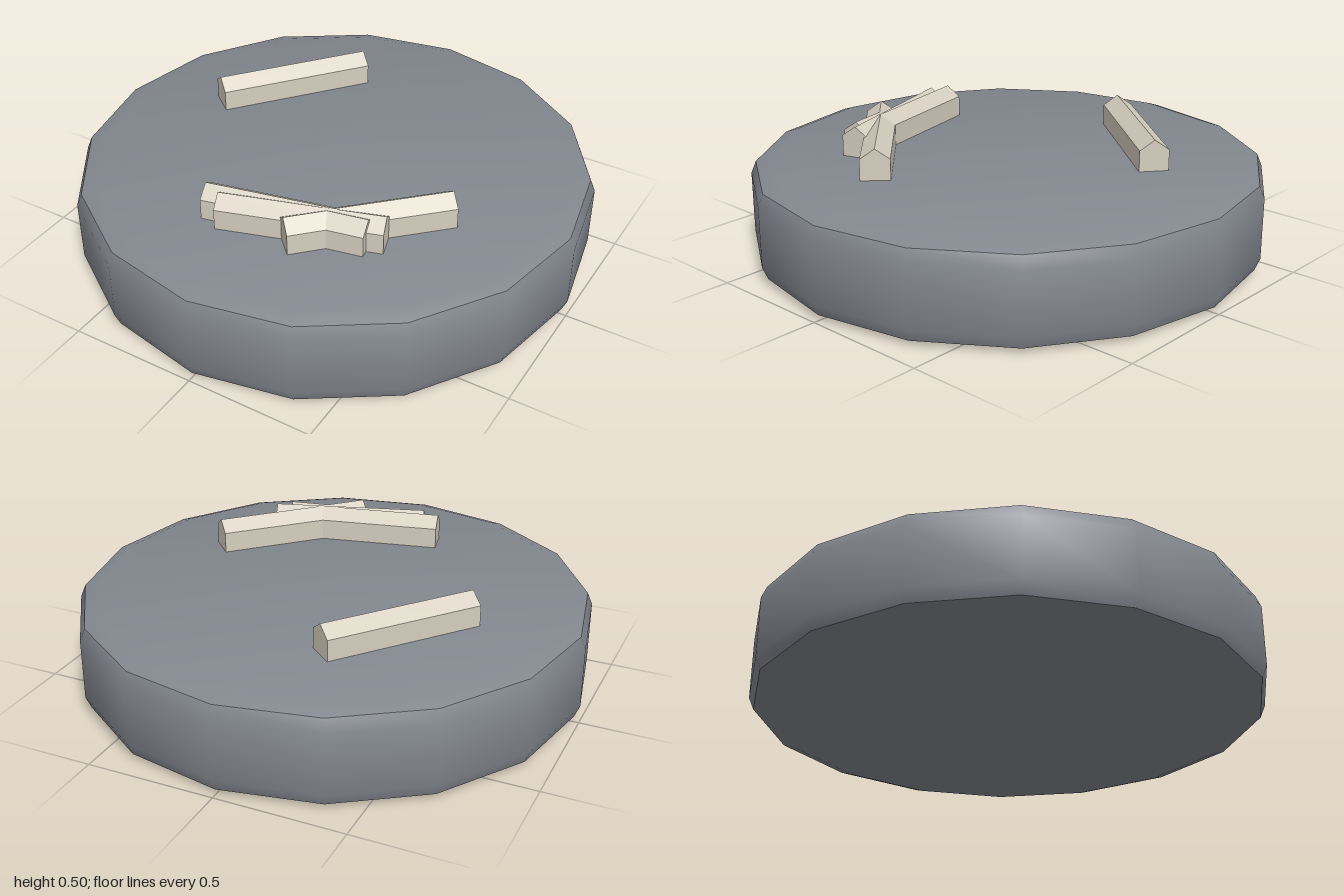
import * as THREE from 'three';
import { toCreasedNormals } from 'three/addons/utils/BufferGeometryUtils.js';

const stone = new THREE.MeshStandardMaterial({ color: 0x83878f });
stone.name = 'grey stone';
const bone = new THREE.MeshStandardMaterial({ color: 0xd6cfc0 });
bone.name = 'pale ivory';

// Gable cross-section of a raised ridge: [sideways offset, height]
const HALF = 0.057;
const SECTION = [[-HALF, 0.375], [-HALF, 0.46], [0, 0.5], [HALF, 0.46], [HALF, 0.375]];

// Sweeps the gable section along a path of [x, z] points with mitred bends
function ridgeGeometry(path) {
  const pts = path.map(([x, z]) => new THREE.Vector2(x, z));
  const normals = pts.slice(1).map((p, i) => {
    const d = p.clone().sub(pts[i]).normalize();
    return new THREE.Vector2(-d.y, d.x);
  });
  const rings = pts.map((p, i) => {
    const a = normals[Math.max(i - 1, 0)];
    const b = normals[Math.min(i, normals.length - 1)];
    const side = a.clone().add(b).normalize();
    side.divideScalar(side.dot(a));
    return SECTION.map(([o, y]) => [p.x + side.x * o, y, p.y + side.y * o]);
  });
  const out = [];
  const tri = (a, b, c) => out.push(...a, ...b, ...c);
  const n = SECTION.length;
  for (let r = 0; r < rings.length - 1; r++) {
    for (let k = 0; k < n; k++) {
      const m = (k + 1) % n;
      const [a, b, c, d] = [rings[r][k], rings[r][m], rings[r + 1][m], rings[r + 1][k]];
      tri(a, b, c);
      tri(a, c, d);
    }
  }
  // End caps
  const first = rings[0], last = rings[rings.length - 1];
  for (let k = 1; k < n - 1; k++) {
    tri(first[0], first[k + 1], first[k]);
    tri(last[0], last[k], last[k + 1]);
  }
  const g = new THREE.BufferGeometry();
  g.setAttribute('position', new THREE.Float32BufferAttribute(out, 3));
  g.computeVertexNormals();
  return g;
}

export function createModel() {
  const model = new THREE.Group();
  model.name = 'markedDisc';

  // Sixteen-sided disc with rounded rims
  const profile = [
    [0, 0], [0.92, 0], [0.98, 0.022], [1, 0.07],
    [1, 0.308], [0.98, 0.356], [0.92, 0.378], [0, 0.378],
  ].map(([x, y]) => new THREE.Vector2(x, y));
  const disc = new THREE.Mesh(toCreasedNormals(new THREE.LatheGeometry(profile, 16), 0.8), stone);
  disc.name = 'disc';
  model.add(disc);

  // Raised marks on the top face
  const marks = {
    singleMark: [[-0.587, -0.075], [-0.197, -0.555]],
    longBentMark: [[-0.217, 0.548], [0.263, 0.443], [0.575, 0.135]],
    shortBentMark: [[0.135, 0.58], [0.245, 0.468], [0.397, 0.438]],
    crossingMark: [[-0.145, 0.575], [0.444, 0.39]],
  };
  for (const [name, path] of Object.entries(marks)) {
    const mark = new THREE.Mesh(ridgeGeometry(path), bone);
    mark.name = name;
    model.add(mark);
  }
  return model;
}
